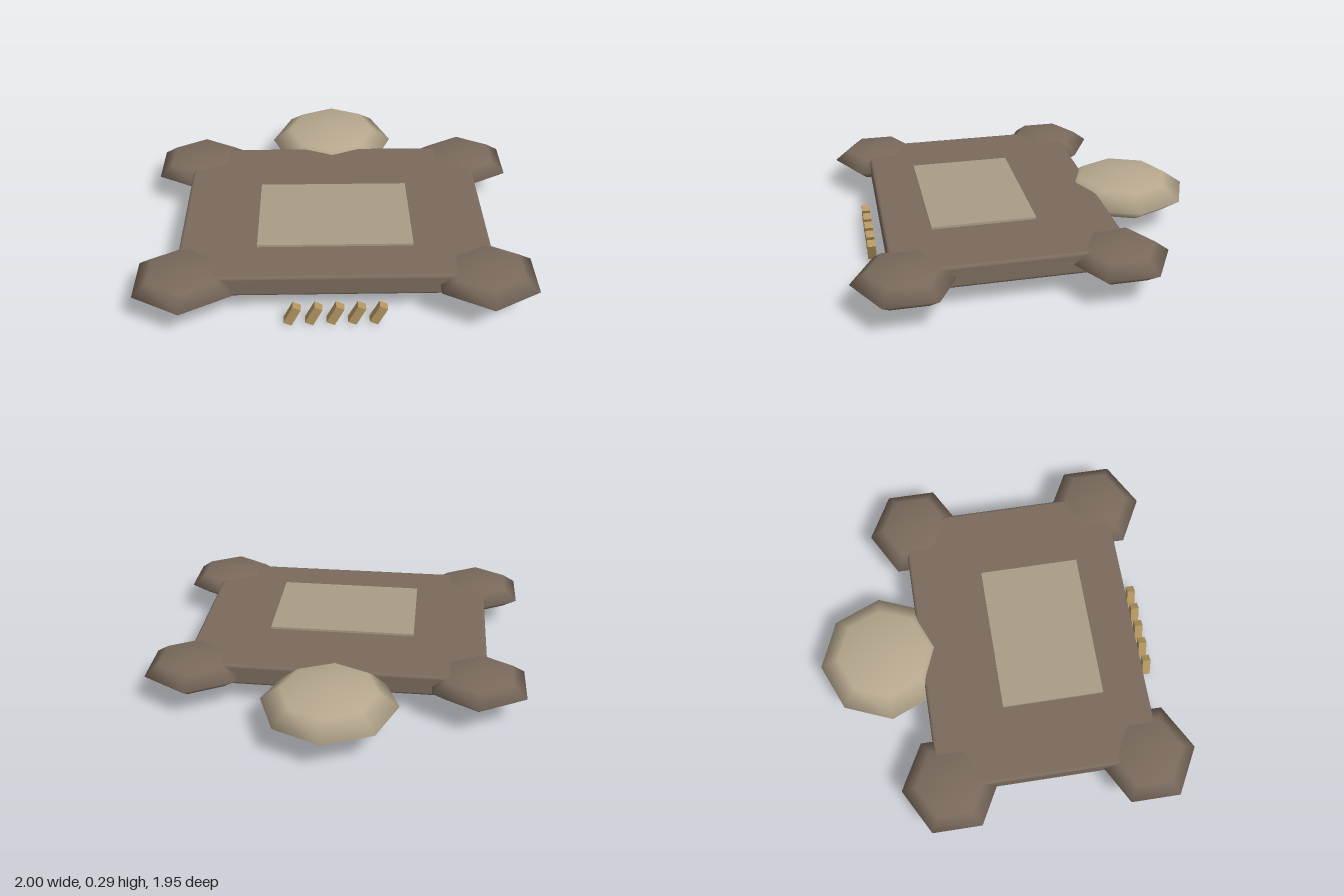
import * as THREE from 'three';
import { RoundedBoxGeometry } from 'three/addons/geometries/RoundedBoxGeometry.js';

const mat = (name, color) => Object.assign(new THREE.MeshStandardMaterial({ color }), { name });

export function createModel() {
  const hide = mat('brown hide', 0x7a6a5c);
  const pale = mat('pale fur', 0xb8a98f);
  const patch = mat('belly patch', 0xa99d86);
  const horn = mat('horn', 0xb39661);
  const model = new THREE.Group();
  model.name = 'hideRug';

  const add = (name, geometry, material, x, y, z) => {
    const mesh = new THREE.Mesh(geometry, material);
    mesh.name = name;
    mesh.position.set(x, y, z);
    model.add(mesh);
    return mesh;
  };

  // Flattened, few-sided ball with a corner pointing along z
  const pad = (sides, rx, ry, rz) =>
    new THREE.SphereGeometry(1, sides, 4).rotateY(Math.PI / 2).scale(rx, ry, rz);

  // Main slab with softened edges
  add('body', new RoundedBoxGeometry(1.6, 0.12, 1.195, 2, 0.018), hide, 0, 0.182, 0.175);

  // Lighter panel showing above and below the slab
  add('centrePatch', new THREE.BoxGeometry(0.8, 0.135, 0.55), patch, 0, 0.1875, 0.255);

  // Four paws at the corners
  const paw = pad(6, 0.28, 0.081, 0.265);
  for (const [end, z] of [['front', 0.705], ['back', -0.355]]) {
    for (const [side, s] of [['Left', 1], ['Right', -1]]) {
      add(end + side + 'Paw', paw, hide, s * 0.757, 0.182, z);
    }
  }

  // Head at the back edge
  add('head', pad(8, 0.356, 0.107, 0.36), pale, 0, 0.182, -0.62);

  // Row of slanted claws along the front
  const claw = new THREE.BoxGeometry(0.045, 0.11, 0.044);
  for (let i = 0; i < 5; i++) {
    add('claw' + (i + 1), claw, horn, -0.006 + (i - 2) * 0.1075, 0.059, 0.832).rotation.z = -0.45;
  }

  return model;
}
